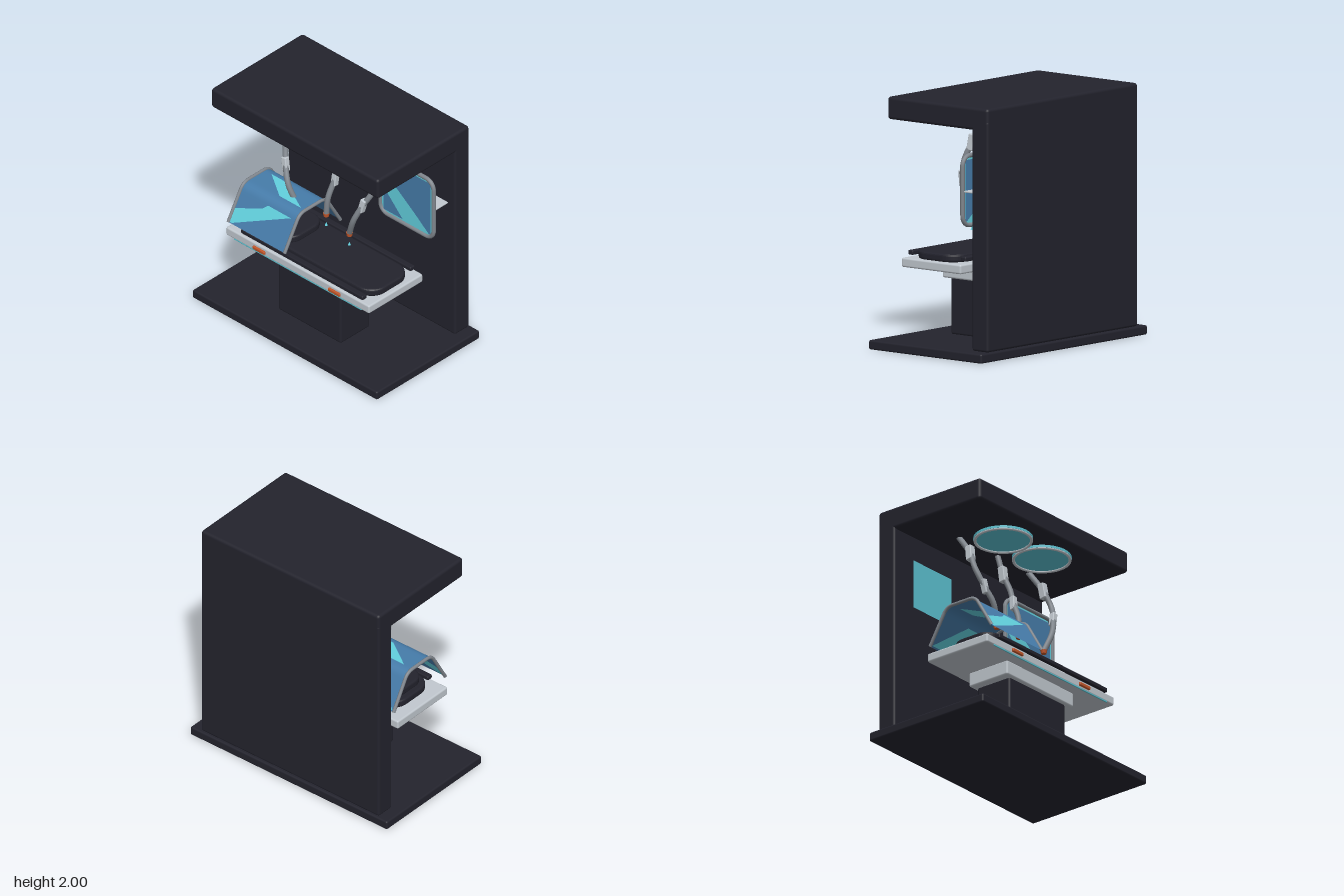
import * as THREE from 'three';
import { RoundedBoxGeometry } from 'three/addons/geometries/RoundedBoxGeometry.js';

const paint = (name, color, side = THREE.FrontSide) => {
  const m = new THREE.MeshStandardMaterial({ color, side });
  m.name = name;
  return m;
};
const V = (x, y, z) => new THREE.Vector3(x, y, z);

export function createModel() {
  const dark = paint('charcoal', 0x23232d);
  const white = paint('pale grey', 0xc1c8cf);
  const steel = paint('steel grey', 0x80868d);
  const orange = paint('burnt orange', 0xc4572a);
  const teal = paint('teal', 0x5cc2d1, THREE.DoubleSide);
  const shine = paint('bright teal', 0x62d0de, THREE.DoubleSide);
  const blue = paint('glass blue', 0x467caa, THREE.DoubleSide);

  const model = new THREE.Group();
  const add = (name, geometry, material, parent = model) => {
    const mesh = new THREE.Mesh(geometry, material);
    mesh.name = name;
    parent.add(mesh);
    return mesh;
  };
  // box given by its limits on each axis
  const box = (name, mat, x0, x1, y0, y1, z0, z1, r = 0.015, parent = model) => {
    const m = add(name, new RoundedBoxGeometry(x1 - x0, y1 - y0, z1 - z0, 2, r), mat, parent);
    m.position.set((x0 + x1) / 2, (y0 + y1) / 2, (z0 + z1) / 2);
    return m;
  };
  const roundRect = (w, h, r) => {
    const s = new THREE.Shape(), x = w / 2, y = h / 2;
    s.moveTo(-x + r, -y).lineTo(x - r, -y);
    s.absarc(x - r, -y + r, r, -Math.PI / 2, 0);
    s.absarc(x - r, y - r, r, 0, Math.PI / 2);
    s.absarc(-x + r, y - r, r, Math.PI / 2, Math.PI);
    s.absarc(-x + r, -y + r, r, Math.PI, Math.PI * 1.5);
    return s;
  };
  const polygon = pts => new THREE.ShapeGeometry(new THREE.Shape(pts.map(p => new THREE.Vector2(...p))));

  // structure
  box('base', dark, -1, 1, 0, 0.075, -0.58, 0.58);
  box('backWall', dark, -0.905, 0.905, 0.075, 1.9, -0.565, -0.4, 0.02);
  box('canopy', dark, -0.905, 0.905, 1.82, 2, -0.565, 0.47, 0.025);

  // table
  box('pedestal', dark, -0.34, 0.34, 0.07, 0.54, -0.03, 0.3, 0.02);
  box('tableHousing', white, -0.405, 0.405, 0.525, 0.65, -0.06, 0.33);
  box('tableTop', white, -0.775, 0.775, 0.64, 0.715, -0.175, 0.435);
  box('tableLightStrip', teal, -0.69, 0.69, 0.637, 0.649, 0.425, 0.435, 0.002);
  for (const x of [-0.41, 0.405])
    box('tableHandle', orange, x - 0.064, x + 0.064, 0.66, 0.69, 0.43, 0.452, 0.008);
  for (const z of [0.405, -0.137])
    box('hoodRail', dark, -0.62, 0.7, 0.73, 0.767, z - 0.026, z + 0.026, 0.01);

  // padding with rounded corners
  const pad = (name, w, d, h, r, x, y) => {
    const b = 0.018;
    const g = new THREE.ExtrudeGeometry(roundRect(w - 2 * b, d - 2 * b, r), {
      depth: h - 2 * b, bevelSize: b, bevelThickness: b, bevelSegments: 3, curveSegments: 8 });
    g.rotateX(-Math.PI / 2);
    add(name, g, dark).position.set(x, y + b, 0.135);
  };
  pad('mattress', 1.42, 0.45, 0.065, 0.12, 0.03, 0.712);
  pad('pillow', 0.46, 0.4, 0.065, 0.1, -0.4, 0.767);

  // arched hood: one profile for glass and both hoops
  const hood = new THREE.Group();
  hood.name = 'hood';
  model.add(hood);
  const arch = new THREE.CurvePath();
  const corners = [[0.45, 0.79], [0.31, 1.03], [0.28, 1.083], [0.22, 1.083], [0.05, 1.083], [-0.01, 1.083], [-0.04, 1.03], [-0.18, 0.79]]
    .map(([z, y]) => V(0, y, z));
  arch.add(new THREE.LineCurve3(corners[0], corners[1]));
  arch.add(new THREE.QuadraticBezierCurve3(corners[1], corners[2], corners[3]));
  arch.add(new THREE.LineCurve3(corners[3], corners[4]));
  arch.add(new THREE.QuadraticBezierCurve3(corners[4], corners[5], corners[6]));
  arch.add(new THREE.LineCurve3(corners[6], corners[7]));
  for (const x of [-0.735, -0.125])
    add('hoodHoop', new THREE.TubeGeometry(arch, 64, 0.014, 10), steel, hood).position.x = x;
  const rows = 48;
  const glass = new THREE.PlaneGeometry(0.61, 1, 1, rows);
  const gp = glass.attributes.position;
  for (let i = 0; i < gp.count; i++) {
    const p = arch.getPointAt(1 - Math.floor(i / 2) / rows);
    gp.setXYZ(i, gp.getX(i) - 0.43, p.y, p.z);
  }
  glass.computeVertexNormals();
  add('hoodGlass', glass, blue, hood);

  // reflections on the hood: u along x, v up each flat face, both 0..1
  const bands = [[[0, 0.03], [0.04, 0.03], [0.92, 0.98], [0.5, 0.98], [0.42, 0.82], [0, 0.45]],
    [[0.55, 0], [0.95, 0], [0.4, 1], [0.12, 1]], [[0, 0.05], [0.3, 0.05], [0.9, 0.95], [0.5, 0.95]]];
  [[0, 1], [3, 4], [7, 6]].forEach(([i, j], face) => {
    const a = corners[i], up = corners[j].clone().sub(a);
    const normal = V(1, 0, 0).cross(up).normalize();
    for (const side of [-1, 1]) {
      const g = polygon(bands[face]);
      g.applyMatrix4(new THREE.Matrix4().makeBasis(V(0.58, 0, 0), up, normal)
        .setPosition(a.clone().addScaledVector(normal, 0.003 * side).setX(-0.72)));
      add('hoodReflection', g, shine, hood);
    }
  });

  // flat display at the left of the front
  add('wallDisplay', new THREE.PlaneGeometry(0.465, 0.405), teal).position.set(-0.568, 1.345, -0.295);

  // framed screen
  const screen = new THREE.Group();
  screen.name = 'screen';
  screen.position.set(0.54, 1.312, -0.24);
  model.add(screen);
  const rim = roundRect(0.575, 0.55, 0.08).getSpacedPoints(80).slice(0, -1).map(p => V(p.x, p.y, 0));
  add('screenFrame', new THREE.TubeGeometry(new THREE.CatmullRomCurve3(rim, true), 120, 0.018, 10, true), steel, screen);
  add('screenBorder', new THREE.ShapeGeometry(roundRect(0.56, 0.535, 0.07)), shine, screen);
  for (const z of [-0.003, 0.003]) {
    add('screenGlass', new THREE.PlaneGeometry(0.51, 0.485), blue, screen).position.z = z;
    add('screenReflection', polygon([[-0.255, 0.1], [-0.255, -0.02], [-0.04, -0.2425], [0.24, -0.2425], [0.1, -0.13], [-0.1, 0.02]]),
      shine, screen).position.z = z * 2;
  }

  // mount and equipment behind the screen
  box('screenArm', white, 0.5, 0.83, 1.303, 1.317, -0.4, -0.255, 0.005);
  box('pump', white, 0.48, 0.62, 1.12, 1.245, -0.385, -0.28);
  const knob = add('pumpKnob', new THREE.CylinderGeometry(0.013, 0.013, 0.02, 12), orange);
  knob.rotation.x = Math.PI / 2;
  knob.position.set(0.55, 1.185, -0.272);
  add('vial', new THREE.CylinderGeometry(0.016, 0.016, 0.11, 16), teal).position.set(0.55, 1.415, -0.318);
  add('vialCap', new THREE.CylinderGeometry(0.012, 0.012, 0.016, 12), blue).position.set(0.55, 1.53, -0.315);

  // ceiling lamps
  for (const x of [-0.22, 0.25]) {
    add('ceilingLamp', new THREE.CylinderGeometry(0.235, 0.235, 0.022, 40), teal).position.set(x, 1.811, 0.135);
    const ring = add('lampRing', new THREE.TorusGeometry(0.222, 0.012, 8, 40), white);
    ring.rotation.x = Math.PI / 2;
    ring.position.set(x, 1.797, 0.135);
  }

  // hanging arms: path, and the points that carry a joint block
  const arms = [
    [[-0.43, 1.83, -0.14], [-0.46, 1.64, 0], [-0.48, 1.5, 0.06], [-0.43, 1.33, 0.12], [-0.365, 1.19, 0.16], [-0.3, 1.03, 0.135]],
    [[0.015, 1.83, -0.12], [0.025, 1.65, -0.07], [0.04, 1.5, -0.01], [0.025, 1.37, 0.035], [0.01, 1.21, 0.1], [0, 1.06, 0.11]],
    [[0.415, 1.83, -0.14], [0.43, 1.63, 0], [0.46, 1.48, 0.06], [0.405, 1.34, 0.12], [0.345, 1.19, 0.16], [0.275, 1.02, 0.135]],
  ];
  arms.forEach((pts, n) => {
    const arm = new THREE.Group();
    arm.name = 'treatmentArm';
    model.add(arm);
    const curve = new THREE.CatmullRomCurve3(pts.map(p => V(...p)));
    add('armTube', new THREE.TubeGeometry(curve, 48, 0.023, 10), steel, arm);
    for (const [i, size, len] of [[1, 0.058, 0.13], [3, 0.048, 0.12]]) {
      const joint = add('armJoint', new RoundedBoxGeometry(size, len, size, 2, 0.008), white, arm);
      joint.position.set(...pts[i]);
      const t = curve.getTangent(i / 5);
      joint.rotation.z = Math.atan2(t.x, -t.y) * 0.6;
      joint.rotation.x = Math.atan2(-t.z, -t.y) * 0.3;
    }
    const tip = pts[5];
    add('armNozzle', new THREE.CylinderGeometry(0.027, 0.022, 0.03, 12), orange, arm).position.set(tip[0], tip[1] - 0.008, tip[2]);
    if (n > 0)
      add('droplet', new THREE.ConeGeometry(0.012, 0.03, 10), shine, arm).position.set(tip[0], tip[1] - 0.098, tip[2]);
  });

  return model;
}
